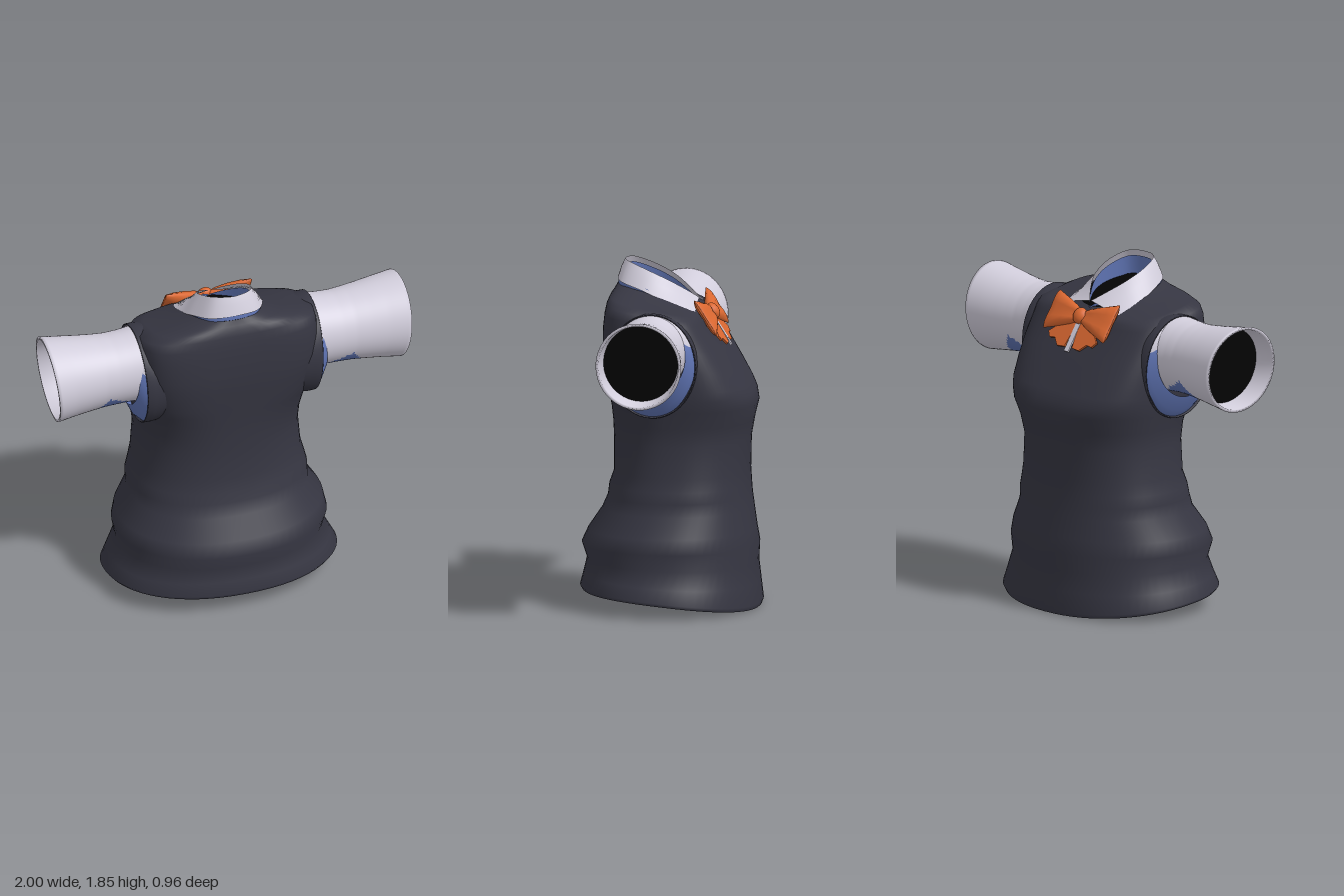
import * as THREE from 'three';

const mat = (name, color) => {
  const m = new THREE.MeshStandardMaterial({ color, side: THREE.DoubleSide });
  m.name = name;
  return m;
};
const V = (x, y, z) => new THREE.Vector3(x, y, z);

// Skin a list of point rings; pick(i, j) chooses a material index for each quad
function loft(name, rings, material, closed = true, pick = null) {
  const n = rings[0].length, geo = new THREE.BufferGeometry();
  const lists = [[], []];
  for (let i = 0; i < rings.length - 1; i++) {
    for (let j = 0; j < (closed ? n : n - 1); j++) {
      const a = i * n + j, b = i * n + (j + 1) % n, c = a + n, d = b + n;
      lists[pick ? pick(i, j) : 0].push(a, c, b, b, c, d);
    }
  }
  geo.setFromPoints(rings.flat());
  geo.setIndex([...lists[0], ...lists[1]]);
  if (pick) {
    geo.addGroup(0, lists[0].length, 0);
    geo.addGroup(lists[0].length, lists[1].length, 1);
  }
  geo.computeVertexNormals();
  const mesh = new THREE.Mesh(geo, material);
  mesh.name = name;
  return mesh;
}

// Flat fill from a ring to its centre
function cap(name, ring, material) {
  const c = ring.reduce((s, p) => s.add(p), V(0, 0, 0)).divideScalar(ring.length);
  return loft(name, [ring, ring.map(() => c.clone())], material);
}

// Rounded horizontal section: height, half width, front z, back z, squareness, slope and droop in z
function section([y, w, zf, zb, p, k = 0, q = 0], n = 64) {
  const pow = (v) => Math.sign(v) * Math.abs(v) ** (2 / p);
  return Array.from({ length: n }, (_, i) => {
    const t = (i / n) * Math.PI * 2;
    const z = (zf + zb) / 2 + pow(Math.sin(t)) * (zb - zf) / 2;
    return V(w * pow(Math.cos(t)), y + k * z - q * z * z, z);
  });
}

// Upright oval ring around an arm: x, centre y, centre z, radii, lean in y and z
const SIDES = 64;
const sine = (j) => Math.sin((j / SIDES) * Math.PI * 2);
function armRing(x, cy, cz, ry, rz, lean = 0, turn = 0) {
  return Array.from({ length: SIDES }, (_, j) => {
    const y = sine(j) * ry, z = Math.cos((j / SIDES) * Math.PI * 2) * rz;
    return V(x + lean * y + turn * z, cy + y, cz + z);
  });
}

export function createModel() {
  const vestMat = mat('charcoal knit', 0x363642);
  const shirtMat = mat('pale shirt', 0xd2cedc);
  const blueMat = mat('blue shirt shade', 0x6075b5);
  const bowMat = mat('orange ribbon', 0xdb6831);
  const darkMat = mat('dark inside', 0x040404);
  const model = new THREE.Group();
  model.name = 'shirtAndVest';

  // Vest body, from hem to neckline
  const body = [
    [0.072, 0.622, -0.472, 0.472, 2.2, 0.104, 0.1], [0.09, 0.637, -0.48, 0.483, 2.2, 0.1, 0.08],
    [0.16, 0.6, -0.468, 0.465, 2.2, 0.06], [0.25, 0.558, -0.457, 0.448, 2.2, 0.03],
    [0.34, 0.576, -0.462, 0.475, 2.2, 0.01], [0.42, 0.56, -0.447, 0.44, 2.2],
    [0.53, 0.485, -0.432, 0.365, 2.3], [0.6, 0.487, -0.422, 0.335, 2.3],
    [0.66, 0.472, -0.418, 0.328, 2.3], [0.73, 0.455, -0.414, 0.303, 2.3],
    [0.9, 0.44, -0.418, 0.303, 2.3], [1.0, 0.45, -0.435, 0.306, 2.4],
    [1.09, 0.472, -0.455, 0.313, 2.6], [1.15, 0.48, -0.441, 0.32, 2.9],
    [1.2, 0.485, -0.414, 0.325, 3.2], [1.3, 0.49, -0.352, 0.337, 3.6],
    [1.4, 0.492, -0.29, 0.345, 3.9, 0.01], [1.5, 0.492, -0.23, 0.342, 3.9, 0.06],
    [1.56, 0.49, -0.203, 0.335, 3.7, 0.1], [1.595, 0.482, -0.188, 0.326, 3.4, 0.15],
    [1.618, 0.42, -0.18, 0.316, 2.9, 0.18], [1.63, 0.31, -0.168, 0.302, 2.5, 0.22],
    [1.663, 0.2, -0.14, 0.287, 2.2, 0.3, 0.3],
  ].map((s) => section(s));
  model.add(loft('vestBody', body, vestMat));
  model.add(cap('hemOpening', body[0], darkMat));
  model.add(cap('neckOpening', body[body.length - 1], darkMat));

  // Armholes and sleeves
  for (const side of [1, -1]) {
    const arm = new THREE.Group();
    arm.name = side > 0 ? 'leftArm' : 'rightArm';
    arm.scale.x = side;

    // Knitted edge standing out to the armhole
    arm.add(loft('armholeTrim', [
      armRing(0.36, 1.342, 0.045, 0.265, 0.24, 0.03),
      armRing(0.45, 1.342, 0.045, 0.28, 0.243, 0.03),
      armRing(0.49, 1.342, 0.045, 0.28, 0.238, 0.03),
      armRing(0.494, 1.342, 0.045, 0.274, 0.232, 0.03),
      armRing(0.47, 1.342, 0.045, 0.268, 0.224, 0.03),
    ], vestMat));

    // Shirt showing in the armhole, blue below and pale over the shoulder
    arm.add(loft('armholeShirt', [
      armRing(0.478, 1.342, 0.045, 0.274, 0.23, 0.03),
      armRing(0.502, 1.358, 0.047, 0.25, 0.216, -0.03),
      armRing(0.526, 1.395, 0.052, 0.205, 0.19, -0.1),
    ], [shirtMat, blueMat], true, (i, j) => (sine(j + 0.5) < 0.35 ? 1 : 0)));

    // Sleeve: x, centre y, centre z, radii, lean, turn
    const stations = [
      [0.48, 1.412, 0.052, 0.203, 0.192, 0, 0], [0.56, 1.41, 0.054, 0.197, 0.188, 0, 0],
      [0.63, 1.407, 0.053, 0.196, 0.188, 0, 0], [0.7, 1.407, 0.05, 0.2, 0.192, 0.02, 0.01],
      [0.78, 1.408, 0.05, 0.209, 0.201, 0.035, 0.02], [0.87, 1.41, 0.05, 0.221, 0.212, 0.07, 0.04],
      [0.975, 1.412, 0.053, 0.236, 0.227, 0.1, 0.06],
    ];
    const STEPS = 6;
    const sleeve = [];
    for (let i = 0; i < (stations.length - 1) * STEPS; i++) {
      const s = Math.floor(i / STEPS), f = (i % STEPS) / STEPS;
      sleeve.push(armRing(...stations[s].map((v, c) => v + f * (stations[s + 1][c] - v))));
    }
    // Cuff, turned inward
    sleeve.push(armRing(...stations[6]), armRing(0.975, 1.412, 0.053, 0.22, 0.211, 0.1, 0.06),
      armRing(0.86, 1.414, 0.055, 0.206, 0.198, 0.1, 0.06));
    // Blue shade on the underside, highest a little way out from the body
    arm.add(loft('sleeve', sleeve, [shirtMat, blueMat], true, (i, j) => {
      const x = sleeve[i][0].x;
      const limit = x < 0.68 ? 0.42 + 2.4 * (0.68 - x) : 0.42 + 6 * (x - 0.68);
      return -sine(j + 0.5) > limit && x < 0.8 ? 1 : 0;
    }));
    arm.add(cap('sleeveOpening', sleeve[sleeve.length - 1], darkMat));
    model.add(arm);
  }

  // Collar: half of each edge is listed from back to front, then mirrored
  const edgeLine = (half) => {
    const pts = half.map((p) => V(...p));
    const other = pts.slice(1).reverse().map((p) => V(-p.x, p.y, p.z));
    return new THREE.CatmullRomCurve3([...other, ...pts]).getPoints(48);
  };
  const top = edgeLine([[0, 1.85, 0.25], [0.1, 1.845, 0.215], [0.14, 1.8, 0.1],
    [0.122, 1.75, 0], [0.06, 1.69, -0.09], [0.004, 1.645, -0.145]]);
  const bottom = edgeLine([[0, 1.75, 0.289], [0.13, 1.738, 0.256], [0.2, 1.705, 0.14],
    [0.222, 1.66, 0.03], [0.24, 1.615, -0.07], [0.24, 1.578, -0.15]]);
  const bulge = top.map((p, i) => p.clone().lerp(bottom[i], 0.5).add(V(0, 0.01, 0)));
  model.add(loft('collar', [top, bulge, bottom], shirtMat, false));
  const shift = (pts, s, dy, dz) => pts.map((p) => V(p.x * s, p.y + dy, p.z + dz));
  model.add(loft('collarLining', [shift(top, 0.95, -0.03, -0.006),
    shift(top, 1, -0.13, -0.002)], blueMat, false));
  const back = bottom.slice(13, 36);
  model.add(loft('collarStand', [shift(back, 0.96, 0.015, -0.008),
    shift(back, 0.98, -0.045, -0.002)], blueMat, false));

  // Bow, laid along the slope of the chest
  const bow = new THREE.Group();
  bow.name = 'bow';
  bow.applyMatrix4(new THREE.Matrix4().makeBasis(
    V(-1, 0, 0), V(0, 0.84, 0.54), V(0, 0.54, -0.84)).setPosition(0, 1.565, -0.204));
  const tailShape = new THREE.Shape([[0, 0], [0.06, 0], [0.19, -0.12], [0.165, -0.15],
    [0.125, -0.145], [0.085, -0.185], [0.03, -0.18], [0.018, -0.1]]
    .map(([x, y]) => new THREE.Vector2(x, y)));
  for (const side of [1, -1]) {
    const half = new THREE.Group();
    half.name = side > 0 ? 'bowHalfRight' : 'bowHalfLeft';
    half.scale.x = side;
    const rings = [[0.015, 0.034, 0.018], [0.06, 0.055, 0.028], [0.12, 0.076, 0.032],
      [0.19, 0.098, 0.028], [0.235, 0.112, 0.018], [0.242, 0.106, 0.006]].map(([x, h, d]) =>
      Array.from({ length: 16 }, (_, i) => {
        const t = (i / 16) * Math.PI * 2;
        return V(x, Math.sin(t) * h, Math.cos(t) * d * (1 - 0.25 * Math.cos(4 * t)) + 0.005);
      }));
    half.add(loft('bowLoop', rings, bowMat), cap('bowLoopEnd', rings[5], bowMat));
    const tail = new THREE.Mesh(new THREE.ExtrudeGeometry(tailShape,
      { depth: 0.012, bevelEnabled: false }), bowMat);
    tail.name = 'bowTail';
    tail.position.z = -0.006;
    half.add(tail);
    bow.add(half);
  }
  const knot = new THREE.Mesh(new THREE.SphereGeometry(1, 16, 12), bowMat);
  knot.name = 'bowKnot';
  knot.scale.set(0.042, 0.046, 0.032);
  knot.position.z = 0.018;
  const placket = new THREE.Mesh(new THREE.BoxGeometry(0.034, 0.18, 0.009), shirtMat);
  placket.name = 'shirtPlacket';
  placket.position.set(0, -0.115, 0.003);
  bow.add(knot, placket);
  model.add(bow);
  return model;
}
